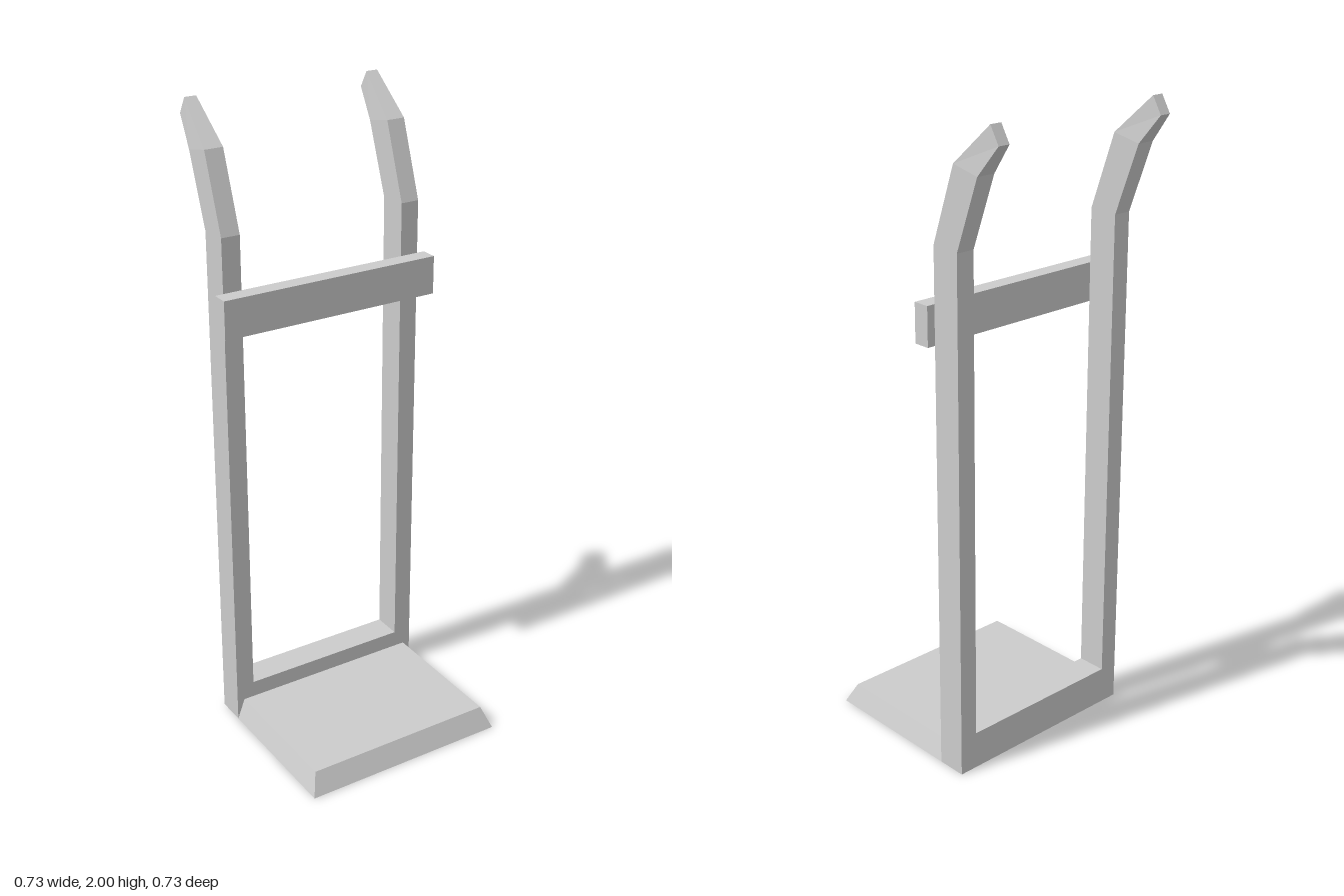
import * as THREE from 'three';

const material = new THREE.MeshStandardMaterial({ color: 0xcccccc, flatShading: true });

function addMesh(group, name, geometry) {
  const mesh = new THREE.Mesh(geometry, material);
  mesh.name = name;
  group.add(mesh);
}

// Box given by its limits on each axis
function boxBetween([x0, x1], [y0, y1], [z0, z1]) {
  return new THREE.BoxGeometry(x1 - x0, y1 - y0, z1 - z0)
    .translate((x0 + x1) / 2, (y0 + y1) / 2, (z0 + z1) / 2);
}

// Four-sided section: x limits, then [y, z] of its front and back edges
function section(x0, x1, [fy, fz], [by, bz]) {
  return [[x0, fy, fz], [x1, fy, fz], [x1, by, bz], [x0, by, bz]];
}

// Closed solid through a stack of four-sided sections, bottom to top
function loft(sections) {
  const positions = [];
  const quad = (a, b, c, d) => positions.push(...a, ...b, ...c, ...a, ...c, ...d);
  for (let i = 0; i < sections.length - 1; i++) {
    const low = sections[i], high = sections[i + 1];
    for (let j = 0; j < 4; j++) {
      const k = (j + 1) % 4;
      quad(low[j], low[k], high[k], high[j]);
    }
  }
  quad(...sections[sections.length - 1]);
  quad(...[...sections[0]].reverse());
  const geometry = new THREE.BufferGeometry();
  geometry.setAttribute('position', new THREE.Float32BufferAttribute(positions, 3));
  geometry.computeVertexNormals();
  return geometry;
}

export function createModel() {
  const group = new THREE.Group();
  group.name = 'handTruck';
  const front = -0.117, back = -0.212;
  const inner = 0.277, outer = 0.337;

  // Uprights that bend back into tapered handles
  for (const [side, name] of [[1, 'leftUpright'], [-1, 'rightUpright']]) {
    const span = (a, b) => (side > 0 ? [a, b] : [-b, -a]);
    addMesh(group, name, loft([
      section(...span(inner, outer), [0, front], [0, back]),
      section(...span(inner, outer), [1.645, front], [1.64, back]),
      section(...span(inner, outer), [1.88, -0.2], [1.86, -0.294]),
      section(...span(0.288, 0.326), [2, -0.332], [1.948, -0.363]),
    ]));
  }

  // Low rail between the feet of the uprights
  addMesh(group, 'bottomRail', boxBetween([-inner, inner], [0, 0.121], [back, front]));

  // Crossbar fixed to the front of the uprights
  addMesh(group, 'crossbar', boxBetween([-0.363, 0.363], [1.357, 1.478], [front, -0.064]));

  // Toe plate with sloped front and side edges
  addMesh(group, 'toePlate', loft([
    section(-outer, outer, [0, 0.363], [0, front]),
    section(-0.312, 0.312, [0.067, 0.328], [0.067, front]),
  ]));

  return group;
}
